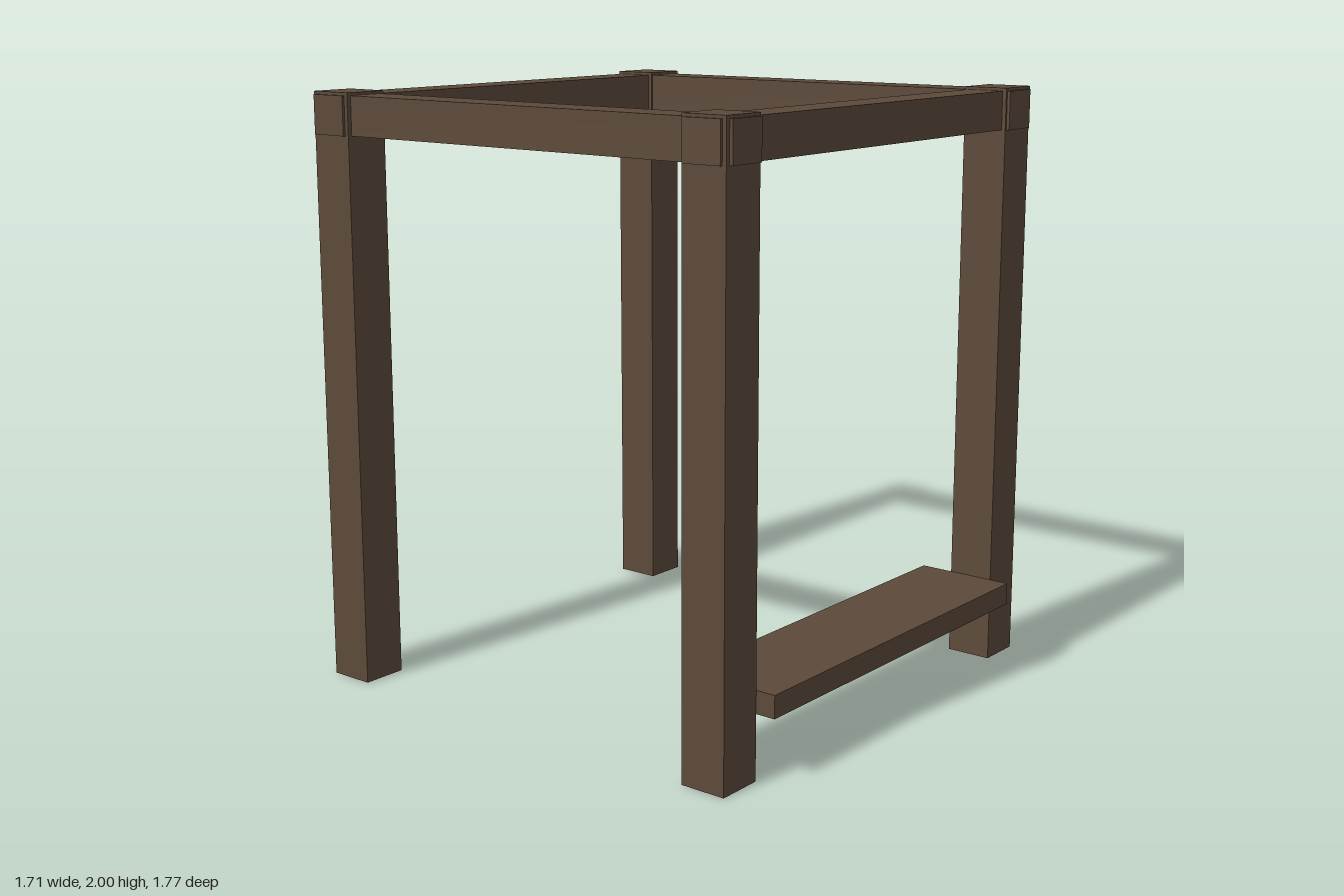
import * as THREE from 'three';

export function createModel() {
  const model = new THREE.Group();
  model.name = 'timberFrame';

  const wood = new THREE.MeshStandardMaterial({ color: 0x5c4a3a });
  wood.name = 'dark brown wood';

  // Box given by its minimum and maximum corners
  function beam(name, [x0, y0, z0], [x1, y1, z1]) {
    const mesh = new THREE.Mesh(new THREE.BoxGeometry(x1 - x0, y1 - y0, z1 - z0), wood);
    mesh.position.set((x0 + x1) / 2, (y0 + y1) / 2, (z0 + z1) / 2);
    mesh.name = name;
    model.add(mesh);
  }

  const legX = 0.767, half = 0.079;
  const frontZ = 0.738, backZ = -0.796;
  const railBottom = 1.86, railTop = 1.99, railHalf = 0.068;

  for (const [end, z] of [['front', frontZ], ['back', backZ]]) {
    // Corner posts
    for (const [side, x] of [['Left', legX], ['Right', -legX]]) {
      beam(end + side + 'Post', [x - half, 0, z - half], [x + half, 2, z + half]);
    }
    // Cross rails, whose ends poke slightly through the posts
    const rz = z - 0.003;
    beam(end + 'Rail', [-0.855, railBottom, rz - railHalf], [0.855, railTop, rz + railHalf]);
  }

  // Side rails running front to back
  for (const [side, x] of [['left', 0.763], ['right', -0.763]]) {
    beam(side + 'Rail', [x - railHalf, railBottom, -0.885], [x + railHalf, railTop, 0.828]);
  }

  // Low bench plank between the front posts
  beam('benchPlank', [-0.688, 0.215, 0.545], [0.688, 0.29, 0.885]);

  return model;
}
